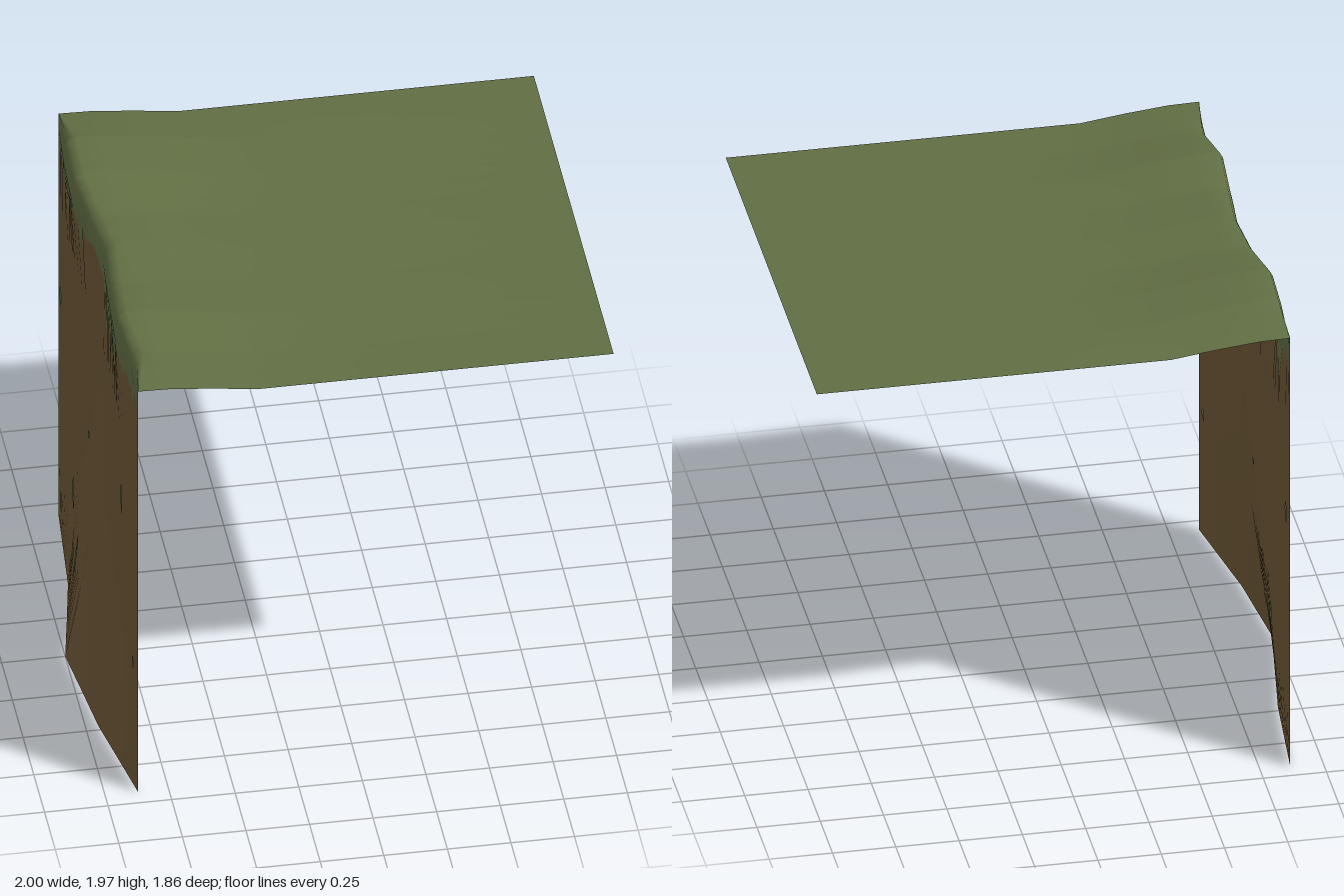
import * as THREE from 'three';

// Control columns along z: wall foot, wall top and crest of the ledge
const Z = [0.93, 0.7, 0.47, 0.23, 0, -0.23, -0.47, -0.7, -0.93];
const FOOT = [-0.87, -0.91, -0.95, -0.975, -1, -0.955, -0.91, -0.89, -0.87];
const WAIST = [-0.87, -0.875, -0.88, -0.887, -0.895, -0.885, -0.875, -0.872, -0.87];
const CHEST = [-0.87, -0.867, -0.865, -0.855, -0.845, -0.855, -0.865, -0.868, -0.87];
const BROW = [-0.87, -0.86, -0.885, -0.87, -0.85, -0.87, -0.9, -0.89, -0.87];
const CREST = [1.92, 1.93, 1.965, 1.94, 1.95, 1.94, 1.97, 1.97, 1.92];

// Lower edge of the grass as (z, y) pairs, with its hanging drips
const DRIPS = [
  [0.93, 1.75], [0.9, 1.8], [0.86, 1.83], [0.82, 1.84], [0.795, 1.82], [0.785, 1.73], [0.765, 1.74], [0.755, 1.79],
  [0.72, 1.8], [0.69, 1.77], [0.66, 1.79], [0.6, 1.79], [0.565, 1.74], [0.54, 1.77], [0.45, 1.8],
  [0.42, 1.78], [0.4, 1.71], [0.38, 1.61], [0.36, 1.6], [0.345, 1.66], [0.33, 1.54], [0.31, 1.53],
  [0.3, 1.63], [0.28, 1.73], [0.24, 1.71], [0.19, 1.63], [0.175, 1.7], [0.155, 1.73], [0.138, 1.66],
  [0.117, 1.54], [0.085, 1.6], [0.055, 1.59], [0.035, 1.66], [0.018, 1.76], [-0.02, 1.8], [-0.1, 1.83],
  [-0.15, 1.84], [-0.2, 1.82], [-0.27, 1.79], [-0.33, 1.81], [-0.342, 1.69], [-0.37, 1.66], [-0.4, 1.71],
  [-0.41, 1.77], [-0.46, 1.78], [-0.5, 1.83], [-0.54, 1.83], [-0.565, 1.75], [-0.59, 1.8], [-0.61, 1.71],
  [-0.65, 1.69], [-0.685, 1.62], [-0.705, 1.62], [-0.716, 1.76], [-0.77, 1.74], [-0.8, 1.83],
  [-0.825, 1.75], [-0.86, 1.81], [-0.89, 1.75], [-0.93, 1.75],
];

// Linear lookup over descending keys
function lookup(keys, values, k) {
  let i = 0;
  while (i < keys.length - 2 && k < keys[i + 1]) i++;
  const t = (k - keys[i]) / (keys[i + 1] - keys[i]);
  return values[i] + (values[i + 1] - values[i]) * t;
}
const at = (values, z) => lookup(Z, values, z);
const dripY = (z) => lookup(DRIPS.map((d) => d[0]), DRIPS.map((d) => d[1]), z);

// Depth of the wall at height y
function wallX(z, y) {
  const f = at(FOOT, z), w = at(WAIST, z), c = at(CHEST, z), b = at(BROW, z);
  return lookup([1.86, 1.6, 1.2, 0.65, 0.35, 0],
    [b, c, w * 0.35 + c * 0.65, w, w + (f - w) * 0.36, f], y);
}

// Columns include every drip point and every control column
const columns = [...new Set([...Z, ...DRIPS.map((d) => d[0])])].sort((a, b) => b - a);

// Skin a sheet through one row of [x, y] points for each column
function sheet(rowAt) {
  const pos = [], idx = [];
  let n = 0;
  columns.forEach((z, i) => {
    const row = rowAt(z);
    n = row.length;
    row.forEach(([x, y]) => pos.push(x, y, z));
    if (i === 0) return;
    for (let j = 0; j < n - 1; j++) {
      const a = (i - 1) * n + j, b = i * n + j;
      idx.push(a, a + 1, b, b, a + 1, b + 1);
    }
  });
  const g = new THREE.BufferGeometry();
  g.setAttribute('position', new THREE.Float32BufferAttribute(pos, 3));
  g.setIndex(idx);
  g.computeVertexNormals();
  return g;
}

const soilRow = (z) => [0, 0.35, 0.65, 0.92, 1.2, 1.45, dripY(z)].map((y) => [wallX(z, y), y]);

function grassRow(z) {
  const brow = at(BROW, z), top = at(CREST, z);
  const round = Math.min(1, (0.93 - Math.abs(z)) / 0.23);
  const bump = (top - 1.92) * 0.7;
  return [
    [wallX(z, dripY(z)), dripY(z)],
    [brow, 1.86],
    [brow + 0.01 * round, top - 0.035],
    [brow + 0.022 * round, top - 0.012 * round],
    [brow + 0.05 * round, top],
    [-0.75, top - 0.003],
    [-0.58, (top + 1.875 + bump) / 2 + 0.002],
    [-0.4, 1.875 + bump],
    [-0.2, 1.875 + bump * 0.45],
    [0.02, 1.875],
    [1, 1.875],
  ];
}

// Small oval moss patch hugging one face of the wall
function patch([z0, y0, rz, ry, lean], side) {
  const n = 12, pos = [], idx = [];
  const add = (z, y) => pos.push(wallX(z, y) + side * 0.004, y, z);
  add(z0, y0);
  for (let i = 0; i < n; i++) {
    const a = (i / n) * Math.PI * 2;
    const r = 1 + 0.12 * Math.sin(3 * a + z0 * 9);
    const dy = Math.sin(a) * ry * r;
    add(z0 + Math.cos(a) * rz * r + dy * lean, y0 + dy);
    const p = i + 1, q = ((i + 1) % n) + 1;
    idx.push(0, ...(side < 0 ? [p, q] : [q, p]));
  }
  const g = new THREE.BufferGeometry();
  g.setAttribute('position', new THREE.Float32BufferAttribute(pos, 3));
  g.setIndex(idx);
  g.computeVertexNormals();
  return g;
}

export function createModel() {
  const grass = new THREE.MeshStandardMaterial({ color: 0x616e43, side: THREE.DoubleSide });
  grass.name = 'grass green';
  const soil = new THREE.MeshStandardMaterial({ color: 0x6e5836, side: THREE.DoubleSide });
  soil.name = 'soil brown';

  const model = new THREE.Group();
  model.name = 'cliffLedge';
  const add = (name, geometry, material) => {
    const mesh = new THREE.Mesh(geometry, material);
    mesh.name = name;
    model.add(mesh);
  };

  add('soilWall', sheet(soilRow), soil);
  add('grassTop', sheet(grassRow), grass);

  // Moss patches: z, y, half width, half height, lean
  const patches = [
    [0.565, 1.15, 0.019, 0.065, -0.15],
    [-0.86, 1.1, 0.024, 0.045, 0],
    [-0.165, 0.932, 0.019, 0.015, 0],
    [0.848, 0.565, 0.023, 0.025, 0],
    [-0.468, 0.43, 0.03, 0.062, -0.35],
    [-0.228, 0.31, 0.022, 0.085, -0.2],
  ];
  for (const p of patches) {
    add('mossPatchOuter', patch(p, -1), grass);
    add('mossPatchInner', patch(p, 1), grass);
  }
  return model;
}
